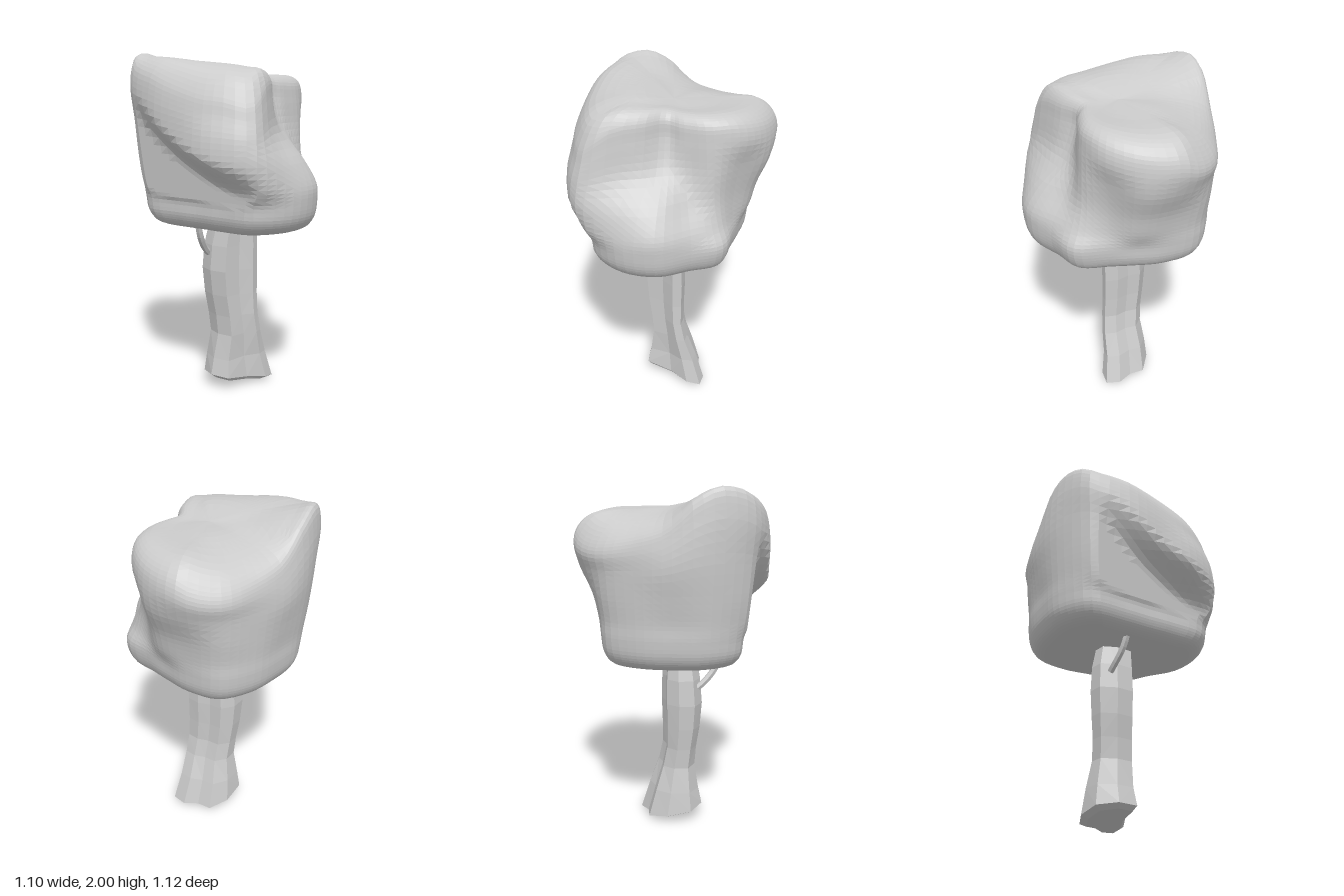
import * as THREE from 'three';

const material = new THREE.MeshStandardMaterial({ color: 0xcccccc, flatShading: true });

// Skin a stack of closed rings (bottom to top, each running from +x towards +z),
// splitting every quad along its shorter diagonal
function loft(rings) {
  const n = rings[0].length, points = rings.flat(), index = [];
  for (let j = 0; j < rings.length - 1; j++) {
    for (let i = 0; i < n; i++) {
      const a = j * n + i, b = j * n + (i + 1) % n, c = b + n, d = a + n;
      if (points[a].distanceTo(points[c]) < points[b].distanceTo(points[d])) index.push(a, d, c, a, c, b);
      else index.push(a, d, b, b, d, c);
    }
  }
  const g = new THREE.BufferGeometry().setFromPoints(points);
  g.setIndex(index);
  g.computeVertexNormals();
  return g;
}

function part(name, geometry) {
  const m = new THREE.Mesh(geometry, material);
  m.name = name;
  return m;
}

// Crown outlines: radius every 22.5 degrees, from +x round through +z, -x, -z
const LOW = [.53, .56, .54, .43, .39, .42, .52, .52, .49, .5, .51, .44, .39, .395, .47, .46];
const BULGE = [.535, .57, .61, .57, .52, .53, .55, .535, .50, .51, .52, .46, .43, .39, .43, .45];
const MID = [.46, .53, .63, .60, .55, .55, .57, .55, .52, .52, .54, .49, .46, .39, .39, .37];
const HIGH = [.30, .40, .61, .595, .55, .565, .59, .57, .545, .53, .56, .56, .52, .42, .38, .30];
const TOP = [.24, .36, .58, .56, .54, .565, .61, .565, .53, .53, .58, .59, .53, .46, .37, .28];

const { smoothstep, clamp, lerp } = THREE.MathUtils;
const over = v => Math.max(0, v);

// Height change of the crown's top: a front ridge, falling off at its rims and at the back corner
function topRelief(x, z) {
  const ridge = smoothstep(z, -.08, .3) * (.1 - .07 * (x + .3) + .5 * over(-x - .38));
  const rim = Math.min(.35, .3 - .25 * x);
  return ridge - 2.4 * over(z - rim) ** 2 - 2 * over(x - .2) ** 2 - over(-z - .3) ** 2
    - 1.2 * over(-x - .2) * over(.1 - z);
}

// Push the front back beneath a crease that runs from upper -x to lower +x
function recessFront(p) {
  const crease = 1.42 - .55 * p.x + .5 * p.x * p.x;
  const amount = 1 - smoothstep(p.y - crease, -.06, .13);
  p.z = lerp(p.z, Math.min(p.z, .4 + .1 * over(p.y - 1.2)), amount);
  return p;
}

function crownGeometry() {
  // [height, outline, scale]
  const levels = [
    [1.02, LOW, 0], [1.02, LOW, .4], [1.025, LOW, .76], [1.055, LOW, .91], [1.11, LOW, .985],
    [1.2, LOW, 1.015], [1.29, BULGE, 1], [1.42, MID, 1], [1.6, HIGH, 1], [1.76, TOP, 1],
    [1.85, TOP, .95], [1.885, TOP, .8], [1.885, TOP, .4], [1.885, TOP, 0],
  ];
  const around = 64, up = 56;
  const rings = levels.map(([h, outline, s]) => {
    const pts = outline.map((r, k) => {
      const a = k * Math.PI / 8;
      return new THREE.Vector3(Math.cos(a) * r * s, h, Math.sin(a) * r * s);
    });
    const curve = new THREE.CatmullRomCurve3(pts, true, 'catmullrom', 0.5);
    return Array.from({ length: around }, (_, i) => {
      const p = curve.getPoint(i / around);
      p.y += topRelief(p.x, p.z) * clamp((h - 1.5) / .35, 0, 1);
      return p;
    });
  });
  const columns = Array.from({ length: around }, (_, i) =>
    new THREE.CatmullRomCurve3(rings.map(r => r[i])));
  return loft(Array.from({ length: up + 1 }, (_, j) =>
    columns.map(c => recessFront(c.getPoint(j / up)))));
}

function trunkGeometry() {
  // Cross-section with a hollow on the +x side and a root lobe at the back
  const section = [[.62, .1], [.45, .95], [-.3, 1], [-.95, .65], [-1, -.1],
    [-.65, -.7], [-.1, -.75], [.4, -1], [.95, -.95], [1, -.5]];
  // [height, min x, max x, min z, max z]
  const levels = [
    [.045, -.14, .11, -.17, .14], [.065, -.18, .14, -.205, .17], [.2, -.165, .12, -.15, .148],
    [.35, -.14, .12, -.095, .125], [.47, -.147, .115, -.07, .135], [.6, -.162, .11, -.07, .155],
    [.75, -.172, .11, -.075, .167], [.9, -.163, .11, -.072, .155], [1.1, -.12, .11, -.05, .12],
  ];
  const rings = levels.map(([y, x0, x1, z0, z1]) => section.map(([u, v]) => {
    const z = (z0 + z1) / 2 + v * (z1 - z0) / 2;
    const slope = y < .1 ? .2 * z : 0; // uneven foot, lowest at the back
    return new THREE.Vector3((x0 + x1) / 2 + u * (x1 - x0) / 2, y + slope, z);
  }));
  // close the underside and the hidden top
  const cap = (y) => section.map(() => new THREE.Vector3(-.02, y, .01));
  return loft([cap(.05), ...rings, cap(1.1)]);
}

export function createModel() {
  const group = new THREE.Group();
  group.name = 'tree';
  group.add(part('crown', crownGeometry()));
  group.add(part('trunk', trunkGeometry()));

  // Thin twig from the trunk up into the crown
  const path = new THREE.CatmullRomCurve3([
    new THREE.Vector3(-.105, .85, .14), new THREE.Vector3(-.1, .89, .185),
    new THREE.Vector3(-.085, .97, .245), new THREE.Vector3(-.07, 1.12, .295),
  ]);
  group.add(part('branch', new THREE.TubeGeometry(path, 10, .02, 6)));
  return group;
}
